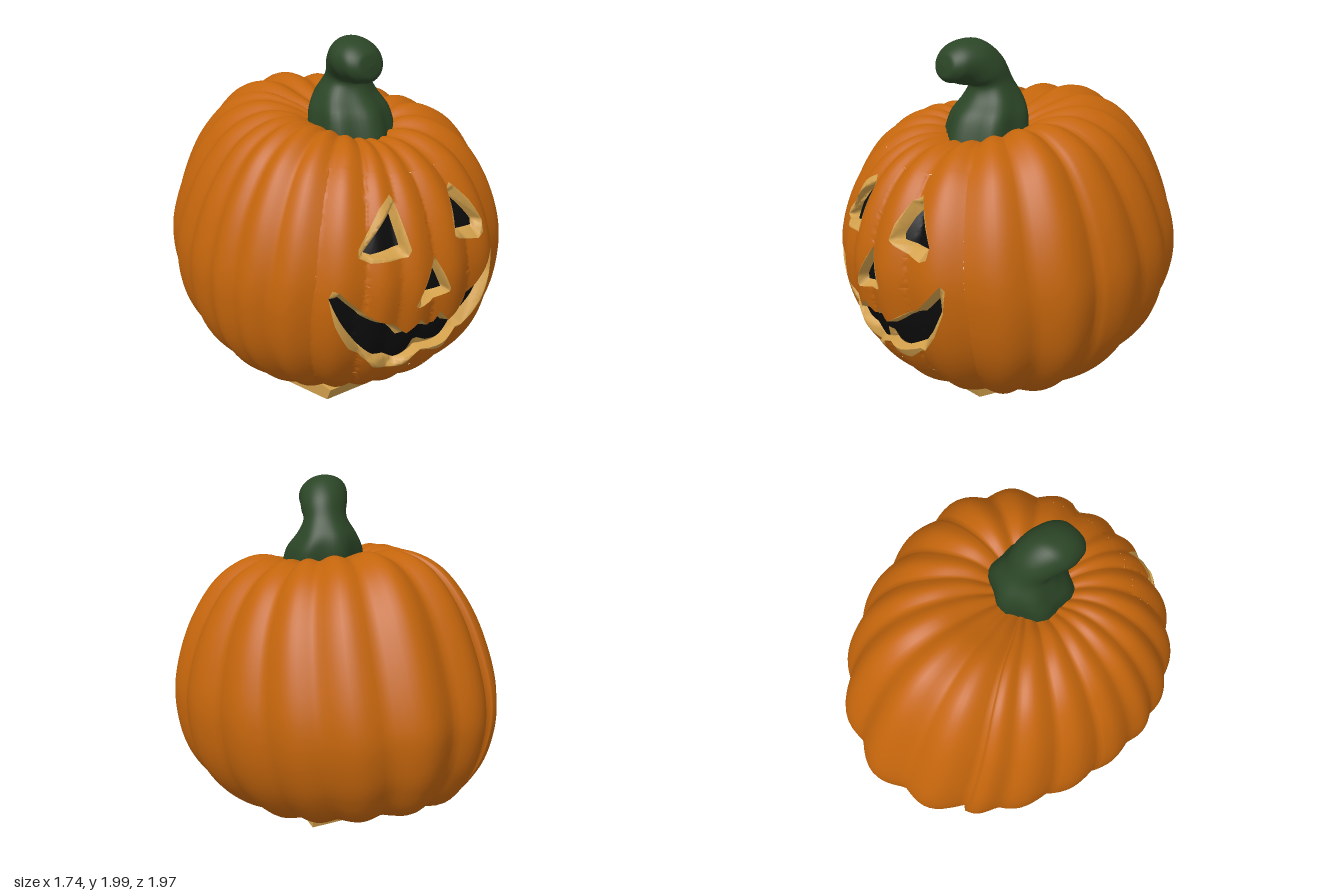
import * as THREE from 'three';
import { mergeVertices } from 'three/addons/utils/BufferGeometryUtils.js';

const mat = (name, color) => Object.assign(new THREE.MeshStandardMaterial({ color }), { name });
const curve = (pts) => new THREE.SplineCurve(pts.map(([a, b]) => new THREE.Vector2(a, b)));

// Body profiles (distance from the stem axis, height), from top to bottom
const AXIS_Z = 0.2;
const front = curve([[0, 1.44], [0.12, 1.46], [0.29, 1.5], [0.45, 1.47], [0.6, 1.36], [0.72, 1.17], [0.785, 0.93],
  [0.77, 0.7], [0.71, 0.5], [0.6, 0.33], [0.45, 0.2], [0.25, 0.12], [0, 0.11]]);
const side = curve([[0, 1.44], [0.15, 1.5], [0.3, 1.58], [0.45, 1.57], [0.62, 1.46], [0.76, 1.25], [0.845, 1.02],
  [0.877, 0.8], [0.84, 0.55], [0.735, 0.36], [0.56, 0.21], [0.35, 0.13], [0, 0.11]]);
const back = curve([[0, 1.44], [0.18, 1.55], [0.35, 1.62], [0.55, 1.67], [0.75, 1.62], [0.92, 1.47], [1.06, 1.24],
  [1.16, 0.99], [1.185, 0.8], [1.13, 0.57], [0.96, 0.37], [0.5, 0.25], [0, 0.11]]);

// Angles of the grooves between ribs, 0 = front, positive towards +x
const GROOVES = [-170, -147, -137, -120, -105, -93, -79, -63, -47, -29, -17, -4, 14, 37, 61, 88, 108, 126, 143, 164, 190]
  .map(THREE.MathUtils.degToRad);
const ROWS = 72, PER_RIB = 10;
// Part of the body holding the face: rib numbers and rows
const FACE = { rib0: 8, rib1: 13, row0: 22, row1: 54 };

// Point on the ribbed body at angle t and profile position v
function bodyPoint(t, v) {
  const c = Math.cos(t), s = Math.sin(t);
  const f = (c > 0 ? front : back).getPoint(v), q = side.getPoint(v);
  let i = 0;
  while (i < GROOVES.length - 2 && t > GROOVES[i + 1]) i++;
  const width = GROOVES[i + 1] - GROOVES[i];
  const u = 2 * (t - GROOVES[i]) / width - 1;
  const dip = 0.6 * u * u + 0.2 * (1 - Math.cos(Math.PI * u));
  const fade = Math.pow(Math.max(0, Math.sin(Math.PI * v)), 0.4) * (1 - 0.7 * THREE.MathUtils.smoothstep(v, 0.8, 0.95));
  const k = 1 - Math.min(0.055, 0.12 * width) * dip * fade;
  const y = c * c * f.y + s * s * q.y;
  return new THREE.Vector3(s * q.x * k, 0.85 + (y - 0.85) * k, AXIS_Z + c * f.x * k);
}

// Closed loft: rows run downwards, columns run round from +z to +x
function loft(rows, angles, point, skip = () => false) {
  const pos = [], idx = [], n = angles.length;
  for (let j = 0; j <= rows; j++) for (const t of angles) pos.push(...point(t, j / rows).toArray());
  for (let j = 0; j < rows; j++) for (let i = 0; i < n; i++) {
    if (skip(i, j)) continue;
    const a = j * n + i, b = j * n + (i + 1) % n;
    idx.push(a, a + n, b, b, a + n, b + n);
  }
  const g = new THREE.BufferGeometry();
  g.setAttribute('position', new THREE.Float32BufferAttribute(pos, 3));
  g.setIndex(idx);
  g.computeVertexNormals();
  return g;
}

// Surface coordinates (angle, -profile position) of a front point x, y, found by relaxation
function toSurface([x, y]) {
  let t = Math.asin(x / 0.88), v = 0.5;
  for (let i = 0; i < 120; i++) {
    const p = bodyPoint(t, v);
    t += (x - p.x) / 1.3;
    v = THREE.MathUtils.clamp(v + (p.y - y) / 2.8, 0.05, 0.95);
  }
  return new THREE.Vector2(t, -v);
}

// Finely divided sheet in surface coordinates; its outline and holes lie at given depths below the skin
function sheet(outline, holes, outlineDepth, holeDepth) {
  const shape = new THREE.Shape(outline);
  shape.holes = holes.map((h) => new THREE.Path(h));
  const flat = new THREE.ShapeGeometry(shape), p = flat.getAttribute('position');
  const corner = (i) => [p.getX(i), p.getY(i), i < outline.length ? outlineDepth : holeDepth];
  const length = (a, b) => Math.hypot((a[0] - b[0]) * 0.8, (a[1] - b[1]) * 2.4);
  const out = [];
  const place = ([t, v, depth]) => {
    const q = bodyPoint(t, -v);
    out.push(q.x, q.y, q.z - depth);
  };
  // Halve the longest edge until all are short
  const split = (a, b, c) => {
    const ab = length(a, b), bc = length(b, c), ca = length(c, a);
    const longest = Math.max(ab, bc, ca);
    if (longest < 0.024) return [a, b, c].forEach(place);
    if (bc === longest) return split(b, c, a);
    if (ca === longest) return split(c, a, b);
    const m = a.map((value, i) => (value + b[i]) / 2);
    split(a, m, c);
    split(m, b, c);
  };
  const index = flat.index.array;
  for (let i = 0; i < index.length; i += 3) split(corner(index[i]), corner(index[i + 1]), corner(index[i + 2]));
  const g = new THREE.BufferGeometry();
  g.setAttribute('position', new THREE.Float32BufferAttribute(out, 3));
  const merged = mergeVertices(g, 1e-5);
  merged.computeVertexNormals();
  return merged;
}

// Carved features: outer cut edge, inner dark opening
const FEATURES = {
  rightEye: [
    [[-0.21, 1.33], [-0.29, 1.28], [-0.42, 1.11], [-0.43, 1.07], [-0.38, 1.04], [-0.2, 1.05], [-0.18, 1.08], [-0.195, 1.3]],
    [[-0.21, 1.27], [-0.26, 1.24], [-0.3, 1.18], [-0.385, 1.08], [-0.35, 1.065], [-0.202, 1.09]]],
  leftEye: [
    [[0.18, 1.31], [0.2, 1.29], [0.27, 1.21], [0.335, 1.1], [0.33, 1.04], [0.29, 1.02], [0.12, 1.07], [0.09, 1.09], [0.1, 1.17], [0.14, 1.28]],
    [[0.175, 1.25], [0.22, 1.2], [0.3, 1.1], [0.295, 1.07], [0.13, 1.09], [0.125, 1.12], [0.15, 1.2]]],
  nose: [
    [[-0.045, 1.02], [0, 0.93], [0.04, 0.84], [0.035, 0.82], [-0.15, 0.78], [-0.17, 0.79], [-0.15, 0.84], [-0.09, 0.95]],
    [[-0.045, 1.0], [0.025, 0.83], [-0.14, 0.81], [-0.14, 0.84], [-0.08, 0.94]]],
  mouth: [
    [[-0.57, 0.88], [-0.555, 0.92], [-0.53, 0.91], [-0.41, 0.78], [-0.28, 0.71], [-0.2, 0.64], [-0.13, 0.705],
      [-0.07, 0.65], [-0.03, 0.655], [0, 0.71], [0.06, 0.645], [0.17, 0.715], [0.275, 0.77], [0.41, 0.925], [0.43, 0.9],
      [0.42, 0.78], [0.36, 0.64], [0.25, 0.52], [0.13, 0.44], [0, 0.46], [-0.085, 0.46], [-0.12, 0.41], [-0.22, 0.4],
      [-0.32, 0.44], [-0.36, 0.49], [-0.465, 0.585], [-0.545, 0.73]],
    [[-0.545, 0.86], [-0.51, 0.87], [-0.41, 0.76], [-0.28, 0.69], [-0.21, 0.61], [-0.175, 0.62], [-0.13, 0.69],
      [-0.085, 0.635], [-0.03, 0.64], [0, 0.69], [0.06, 0.625], [0.17, 0.7], [0.275, 0.75], [0.405, 0.89], [0.39, 0.81],
      [0.33, 0.68], [0.21, 0.555], [0.105, 0.5], [0.01, 0.5], [-0.085, 0.535], [-0.105, 0.47], [-0.175, 0.445],
      [-0.305, 0.5], [-0.41, 0.61], [-0.52, 0.76]]],
};

// Stem sections from tip to base: x, y, z, radius, forward tilt in degrees
const STEM = [[-0.06, 1.87, 0.46, 0, 80], [-0.06, 1.87, 0.452, 0.06, 80], [-0.06, 1.878, 0.41, 0.1, 75],
  [-0.055, 1.885, 0.36, 0.118, 66], [-0.045, 1.875, 0.3, 0.13, 58], [-0.02, 1.835, 0.24, 0.125, 35],
  [0, 1.77, 0.195, 0.115, 10], [0, 1.69, 0.175, 0.155, 0], [0, 1.6, 0.205, 0.2, 0], [0, 1.44, 0.24, 0.222, 0]];

function stemGeometry() {
  const path = new THREE.CatmullRomCurve3(STEM.map(([x, y, z]) => new THREE.Vector3(x, y, z)));
  const size = curve(STEM.map(([, , , r, tilt]) => [r, THREE.MathUtils.degToRad(tilt)]));
  const angles = Array.from({ length: 48 }, (_, i) => i / 48 * Math.PI * 2);
  return loft(45, angles, (t, v) => {
    const s = size.getPoint(v);
    const lobes = 1 + 0.06 * Math.cos(6 * t) * THREE.MathUtils.smoothstep(v, 0.6, 0.95);
    const r = Math.max(0, s.x) * lobes;
    return new THREE.Vector3(Math.sin(t) * r * (1 + 0.15 * (1 - v)), 0, Math.cos(t) * r)
      .applyAxisAngle(new THREE.Vector3(1, 0, 0), s.y).add(path.getPoint(v));
  });
}

export function createModel() {
  const orange = mat('pumpkin skin', 0xc4650c), green = mat('stem green', 0x2b4526);
  const flesh = mat('cut flesh', 0xd2a04c), dark = mat('dark hollow', 0x0c0c0c);
  const model = new THREE.Group();
  model.name = 'carvedPumpkin';
  const add = (name, geometry, material) => {
    const m = new THREE.Mesh(geometry, material);
    m.name = name;
    model.add(m);
    return m;
  };

  // Ribbed body, with columns falling exactly on the grooves, left open for the face
  const angles = [];
  for (let i = 0; i < GROOVES.length - 1; i++)
    for (let k = 0; k < PER_RIB; k++) angles.push(THREE.MathUtils.lerp(GROOVES[i], GROOVES[i + 1], k / PER_RIB));
  add('body', loft(ROWS, angles, bodyPoint, (i, j) => i >= FACE.rib0 * PER_RIB && i < FACE.rib1 * PER_RIB
    && j >= FACE.row0 && j < FACE.row1), orange);
  add('stem', stemGeometry(), green);

  // Carved face: skin with holes, sloping cut rims and dark openings set back
  const t0 = GROOVES[FACE.rib0], t1 = GROOVES[FACE.rib1], v0 = FACE.row0 / ROWS, v1 = FACE.row1 / ROWS;
  const frame = [[t0, -v1], [t1, -v1], [t1, -v0], [t0, -v0]].map(([t, v]) => new THREE.Vector2(t, v));
  const cuts = [], DEPTH = 0.06;
  for (const [name, outlines] of Object.entries(FEATURES)) {
    const [outer, inner] = outlines.map((o) => o.map(toSurface));
    cuts.push(outer);
    add(name + 'Rim', sheet(outer, [inner], 0, DEPTH), flesh);
    add(name + 'Opening', sheet(inner, [], DEPTH, DEPTH), dark);
  }
  add('faceSkin', sheet(frame, cuts, 0, 0), orange);

  // Sloping cut piece underneath
  const base = new THREE.BoxGeometry(0.53, 0.1, 0.46).toNonIndexed();
  const p = base.getAttribute('position');
  for (let i = 0; i < p.count; i++) {
    const ahead = p.getZ(i) > 0, low = p.getY(i) < 0;
    p.setXYZ(i, p.getX(i) * (ahead ? 0.92 : 1) - 0.075, low ? (ahead ? 0.06 : 0) : (ahead ? 0.13 : 0.16),
      ahead ? (low ? 0.44 : 0.47) : (low ? 0.005 : -0.02));
  }
  base.computeVertexNormals();
  add('baseCut', base, flesh);

  // Small bare spots beside the base
  for (const [x, y, z] of [[0.33, 0.145, 0.11], [-0.4, 0.165, 0]]) {
    const spot = add('baseSpot', new THREE.SphereGeometry(0.05, 16, 10), flesh);
    spot.scale.set(0.8, 0.5, 1.1);
    spot.position.set(x, y, z);
  }
  return model;
}
